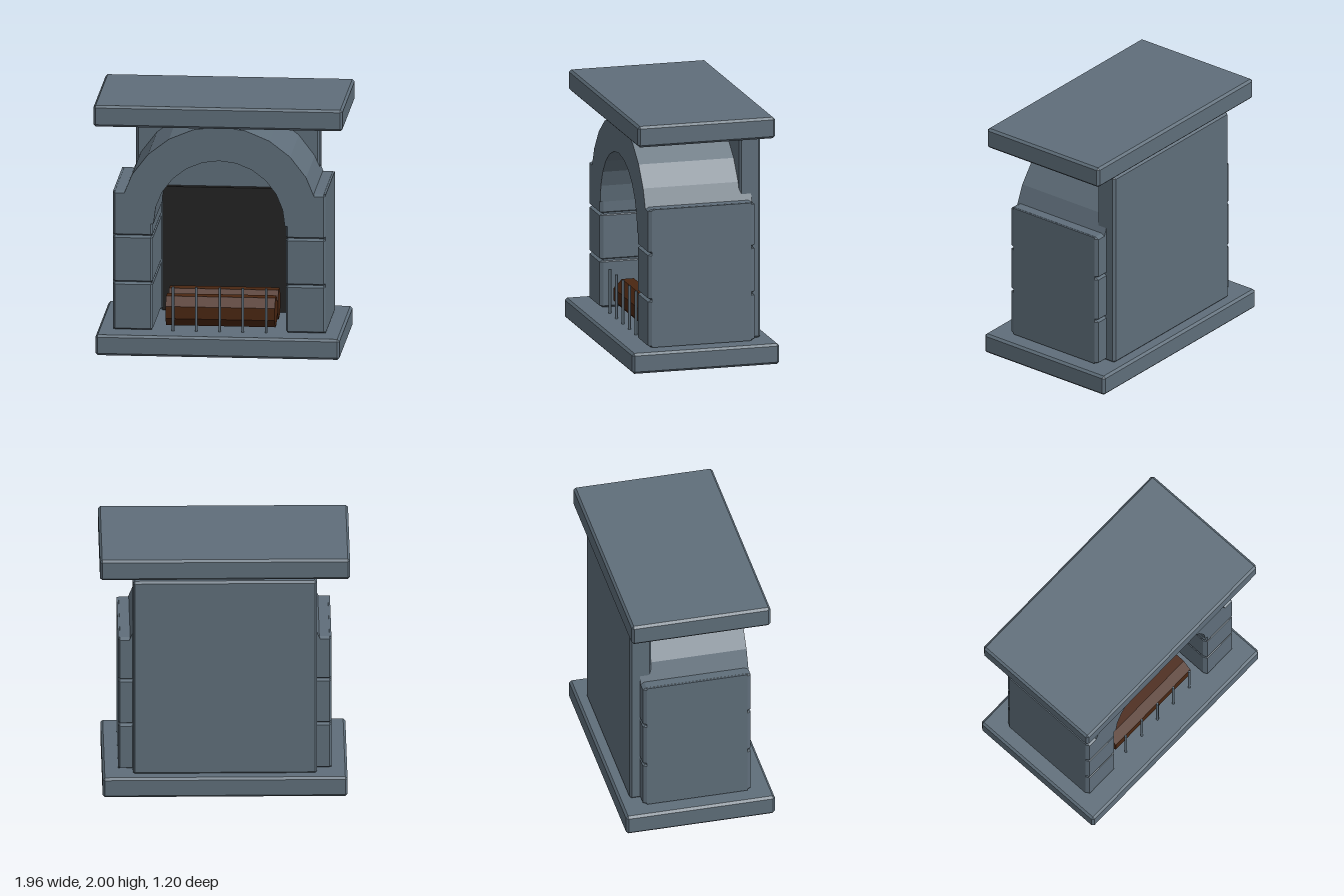
import * as THREE from 'three';
import { ConvexGeometry } from 'three/addons/geometries/ConvexGeometry.js';

const stone = new THREE.MeshStandardMaterial({ name: 'slate stone', color: 0x5f6e7a });
const soot = new THREE.MeshStandardMaterial({ name: 'soot black', color: 0x222222 });
const bark = new THREE.MeshStandardMaterial({ name: 'brown bark', color: 0x4a2611 });

// Box between two corners with chamfered edges of size c = [cx, cy, cz]
function chamferBox(min, max, c) {
  const points = [];
  for (const sx of [0, 1]) for (const sy of [0, 1]) for (const sz of [0, 1]) {
    const s = [sx, sy, sz];
    for (let face = 0; face < 3; face++) {
      const p = s.map((side, i) => {
        const inset = i === face ? 0 : c[i];
        return side ? max[i] - inset : min[i] + inset;
      });
      points.push(new THREE.Vector3(...p));
    }
  }
  return new ConvexGeometry(points);
}

export function createModel() {
  const group = new THREE.Group();
  group.name = 'fireplace';
  const add = (name, geometry, material) => {
    const mesh = new THREE.Mesh(geometry, material);
    mesh.name = name;
    group.add(mesh);
    return mesh;
  };
  const edge = [0.018, 0.018, 0.018];

  // Hearth, mantel and rear wall
  add('hearthSlab', chamferBox([-0.96, 0, -0.6], [0.96, 0.165, 0.6], edge), stone);
  add('mantelSlab', chamferBox([-0.98, 1.83, -0.56], [0.98, 2, 0.56], edge), stone);
  add('rearWall', chamferBox([-0.722, 0.16, -0.515], [0.722, 1.8, -0.34], edge), stone);

  // Sooty panel at the back of the opening
  add('fireback', new THREE.BoxGeometry(1.02, 0.995, 0.06).translate(0, 0.6675, -0.32), soot);

  // Pillars: plain core with three chamfered blocks showing front and back
  const courses = [[0.172, 0.555], [0.555, 0.93], [0.93, 1.287]];
  for (const side of [-1, 1]) {
    const name = side > 0 ? 'left' : 'right';
    const core = new THREE.BoxGeometry(0.305, 1.112, 0.81);
    add(name + 'PillarCore', core.translate(side * 0.6835, 0.73, 0), stone);
    const xs = [side * 0.523, side * 0.836].sort((a, b) => a - b);
    courses.forEach(([y0, y1], i) => {
      const block = chamferBox([xs[0], y0, -0.435], [xs[1], y1, 0.435], [0.016, 0.015, 0.03]);
      add(name + 'PillarBlock' + (i + 1), block, stone);
    });
  }

  // Half-ring arch with twelve flat segments
  const arch = new THREE.Shape();
  const steps = 12;
  const at = (r, i) => [r * Math.cos((Math.PI * i) / steps), 1.03 + r * Math.sin((Math.PI * i) / steps)];
  arch.moveTo(...at(0.79, 0));
  for (let i = 1; i <= steps; i++) arch.lineTo(...at(0.79, i));
  for (let i = steps; i >= 0; i--) arch.lineTo(...at(0.517, i));
  arch.closePath();
  const archGeometry = new THREE.ExtrudeGeometry(arch, { depth: 0.87, bevelEnabled: false });
  add('arch', archGeometry.translate(0, 0, -0.435), stone);

  // Two eight-sided logs lying side by side
  const barkFlat = bark;
  barkFlat.flatShading = true;
  for (const [name, z] of [['frontLog', 0.235], ['backLog', -0.04]]) {
    const log = new THREE.CylinderGeometry(0.127, 0.127, 0.86, 8);
    log.rotateY(Math.PI / 8).rotateZ(Math.PI / 2).translate(0, 0.3, z);
    add(name, log, barkFlat);
  }

  // Grate bars in front of the logs
  for (let i = -2; i <= 2; i++) {
    const bar = new THREE.CylinderGeometry(0.011, 0.011, 0.36, 6);
    add('grateBar' + (i + 3), bar.translate(i * 0.183, 0.34, 0.4), stone);
  }
  return group;
}
